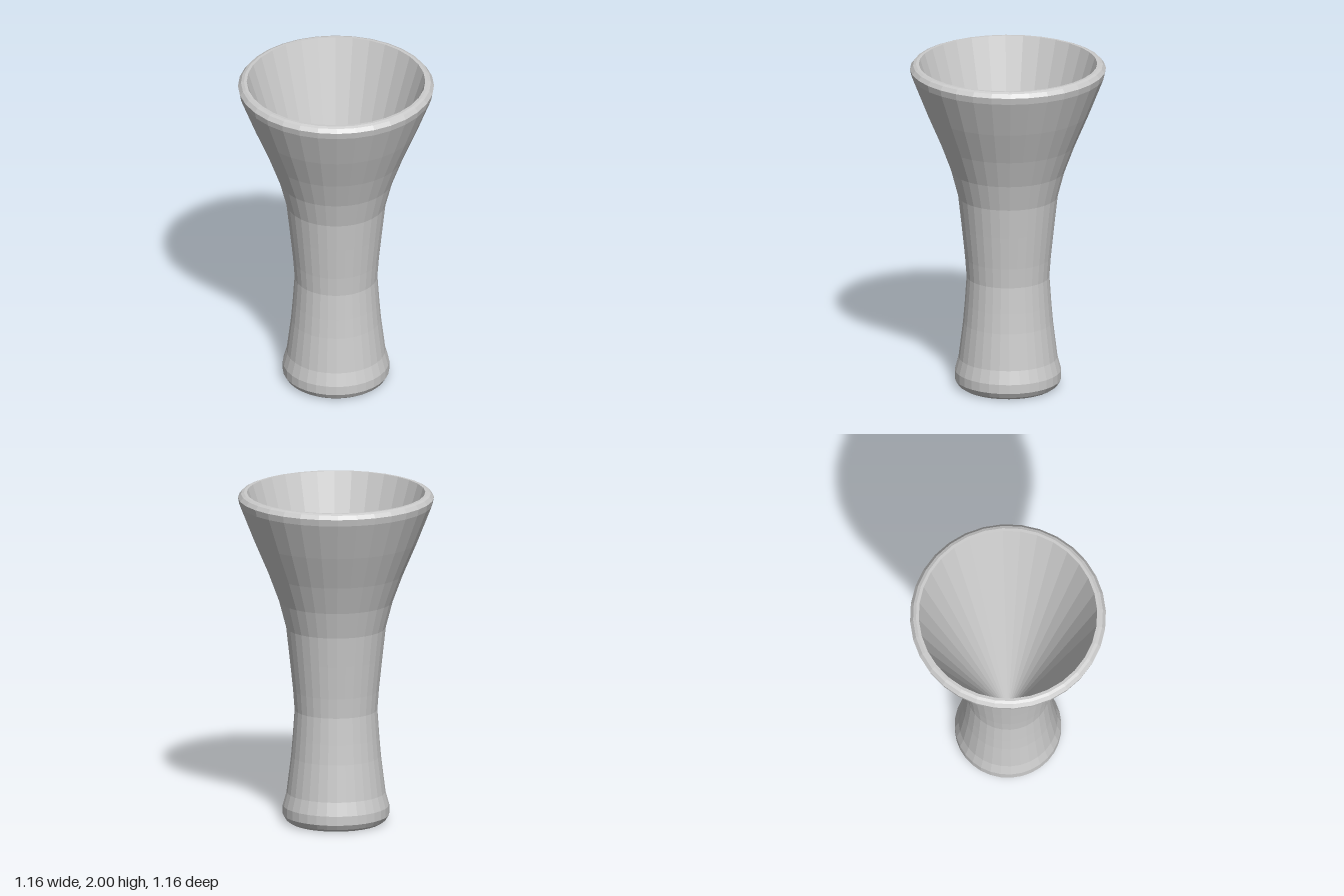
import * as THREE from 'three';

const SIDES = 32;

// Turns a list of [radius, height] points into a faceted ring of surfaces
function lathe(name, points, material) {
  const profile = points.map(([r, y]) => new THREE.Vector2(r, y));
  const mesh = new THREE.Mesh(new THREE.LatheGeometry(profile, SIDES), material);
  mesh.name = name;
  return mesh;
}

export function createModel() {
  const group = new THREE.Group();
  group.name = 'flaredCup';
  const material = new THREE.MeshStandardMaterial({ color: 0xcccccc, flatShading: true });

  // Closed foot with a small bevel
  group.add(lathe('foot', [
    [0, 0], [0.275, 0], [0.297, 0.015], [0.315, 0.045], [0.315, 0.1], [0.293, 0.18],
  ], material));

  // Waisted stem opening into the flared bowl
  group.add(lathe('body', [
    [0.293, 0.18], [0.266, 0.4], [0.256, 0.52], [0.245, 0.68], [0.254, 0.8],
    [0.275, 1.0], [0.295, 1.18], [0.337, 1.34], [0.4, 1.51], [0.485, 1.71], [0.572, 1.93],
  ], material));

  // Bevelled lip
  group.add(lathe('rim', [
    [0.572, 1.93], [0.58, 1.97], [0.562, 1.993], [0.545, 2], [0.528, 2],
  ], material));

  // Deep conical hollow
  group.add(lathe('hollow', [[0.528, 2], [0, 0.33]], material));

  return group;
}
